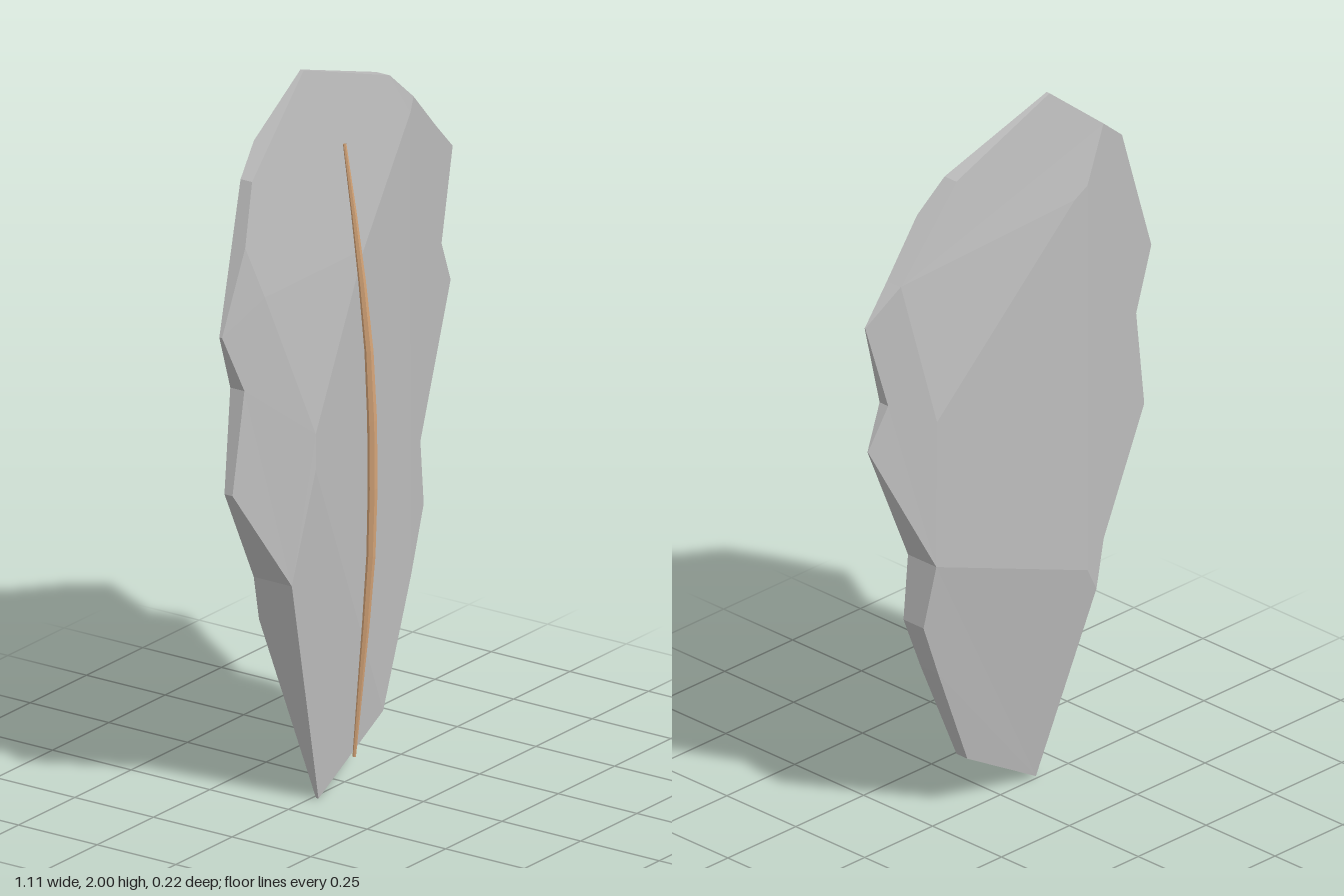
import * as THREE from 'three';

const stone = new THREE.MeshStandardMaterial({ color: 0xbdbdbd });
stone.name = 'pale grey stone';
stone.flatShading = true;
const tan = new THREE.MeshStandardMaterial({ color: 0xd4a478 });
tan.name = 'tan vein';
tan.flatShading = true;

// Facet planes, z = a + b * x + c * y
const frontPlanes = [
  [0.0445, -0.148, 0], // main
  [0.0625, -0.21, 0], // right bevel
  [0.1352, 0.23, 0], // left bevel
  [0.234, 0, -0.132], // top
  [0.18, 0, -0.0952], // upper shoulder
  [0.0157, -0.0085, 0.0656], // lower tip
];
const backPlanes = [
  [-0.0944, -0.06, 0], // main
  [-0.2305, 0.33, 0], // right bevel
  [-0.14, -0.25, 0], // left bevel
  [-0.3125, 0, 0.136], // top
  [0.009, 0, -0.15], // lower tip
];
const heights = (planes, [x, y]) => planes.map(([a, b, c]) => a + b * x + c * y);

// Chipped outline, counterclockwise from the bottom tip
const outline = [
  [-0.14, 0], [0.137, 0.16], [0.293, 0.48], [0.373, 0.65], [0.352, 0.83],
  [0.542, 1.21], [0.485, 1.33], [0.555, 1.575], [0.45, 1.667], [0.31, 1.797],
  [0.22, 1.88], [-0.14, 2], [-0.319, 1.854], [-0.41, 1.78], [-0.47, 1.62],
  [-0.555, 1.395], [-0.48, 1.23], [-0.52, 0.95], [-0.32, 0.65], [-0.284, 0.52],
];
// Points where facets meet inside each face, numbered on from the outline (20...)
const frontInner = [[-0.41, 1.47], [0.03, 1.47], [-0.24, 1.05], [-0.24, 0.95], [0.29, 1.76]];
const backInner = [[-0.19, 1.687], [-0.24, 1.71], [0.35, 1.25], [-0.24, 0.593]];

const frontFacets = [
  [20, 21, 24, 9, 10, 11, 12, 13, 14],
  [20, 22, 21],
  [14, 15, 16, 17, 18, 23, 22, 20],
  [18, 19, 0, 1, 23],
  [22, 23, 1, 2, 24, 21],
  [2, 3, 4, 5, 6, 7, 8, 9, 24],
];
const backFacets = [
  [8, 9, 10, 11, 12, 21, 20],
  [8, 20, 22],
  [4, 5, 6, 7, 8, 22],
  [4, 22, 20, 21, 23],
  [12, 13, 14, 15, 16, 17, 18, 19, 23, 21],
  [0, 1, 2, 3, 4, 23, 19],
];

function buildStone() {
  const front = [...outline, ...frontInner].map(
    (p) => new THREE.Vector3(p[0], p[1], Math.min(...heights(frontPlanes, p))));
  const back = [...outline, ...backInner].map(
    (p) => new THREE.Vector3(p[0], p[1], Math.max(...heights(backPlanes, p))));
  outline.forEach((p, i) => { back[i].z = Math.min(back[i].z, front[i].z - 0.002); });

  const corners = [];
  const addFacets = (points, facets, side) => {
    for (const facet of facets) {
      const flat = facet.map((i) => new THREE.Vector2(points[i].x, points[i].y));
      for (const tri of THREE.ShapeUtils.triangulateShape(flat, [])) {
        const turn = THREE.ShapeUtils.area(tri.map((i) => flat[i]));
        const order = turn * side > 0 ? tri : [tri[0], tri[2], tri[1]];
        corners.push(...order.map((i) => points[facet[i]]));
      }
    }
  };
  addFacets(front, frontFacets, 1);
  addFacets(back, backFacets, -1);

  // Thin rim joining the two faces
  const n = outline.length;
  for (let i = 0; i < n; i++) {
    const j = (i + 1) % n;
    corners.push(back[i], back[j], front[j], back[i], front[j], front[i]);
  }
  const geometry = new THREE.BufferGeometry().setFromPoints(corners);
  geometry.computeVertexNormals();
  return geometry;
}

// Bowed vein, tapered towards both ends
function buildVein() {
  const path = new THREE.CatmullRomCurve3([
    [-0.042, 1.78, 0.03], [-0.03, 1.5, 0.064], [-0.019, 1.2, 0.092], [-0.014, 0.9, 0.099],
    [-0.01, 0.62, 0.089], [-0.009, 0.35, 0.063], [-0.008, 0.08, 0.036],
  ].map((p) => new THREE.Vector3(...p)));
  const segments = 9, sides = 6;
  const geometry = new THREE.TubeGeometry(path, segments, 0.013, sides);
  const position = geometry.attributes.position;
  const v = new THREE.Vector3();
  for (let i = 0; i < position.count; i++) {
    const t = Math.floor(i / (sides + 1)) / segments;
    const centre = path.getPointAt(t);
    v.fromBufferAttribute(position, i).sub(centre);
    v.multiplyScalar(0.35 + 0.65 * Math.sin(Math.PI * t)).add(centre);
    position.setXYZ(i, v.x, v.y, v.z);
  }
  geometry.computeVertexNormals();
  return geometry;
}

export function createModel() {
  const group = new THREE.Group();
  group.name = 'chippedStone';
  const slab = new THREE.Mesh(buildStone(), stone);
  slab.name = 'stoneSlab';
  const vein = new THREE.Mesh(buildVein(), tan);
  vein.name = 'vein';
  tan.side = THREE.DoubleSide;
  group.add(slab, vein);
  return group;
}
